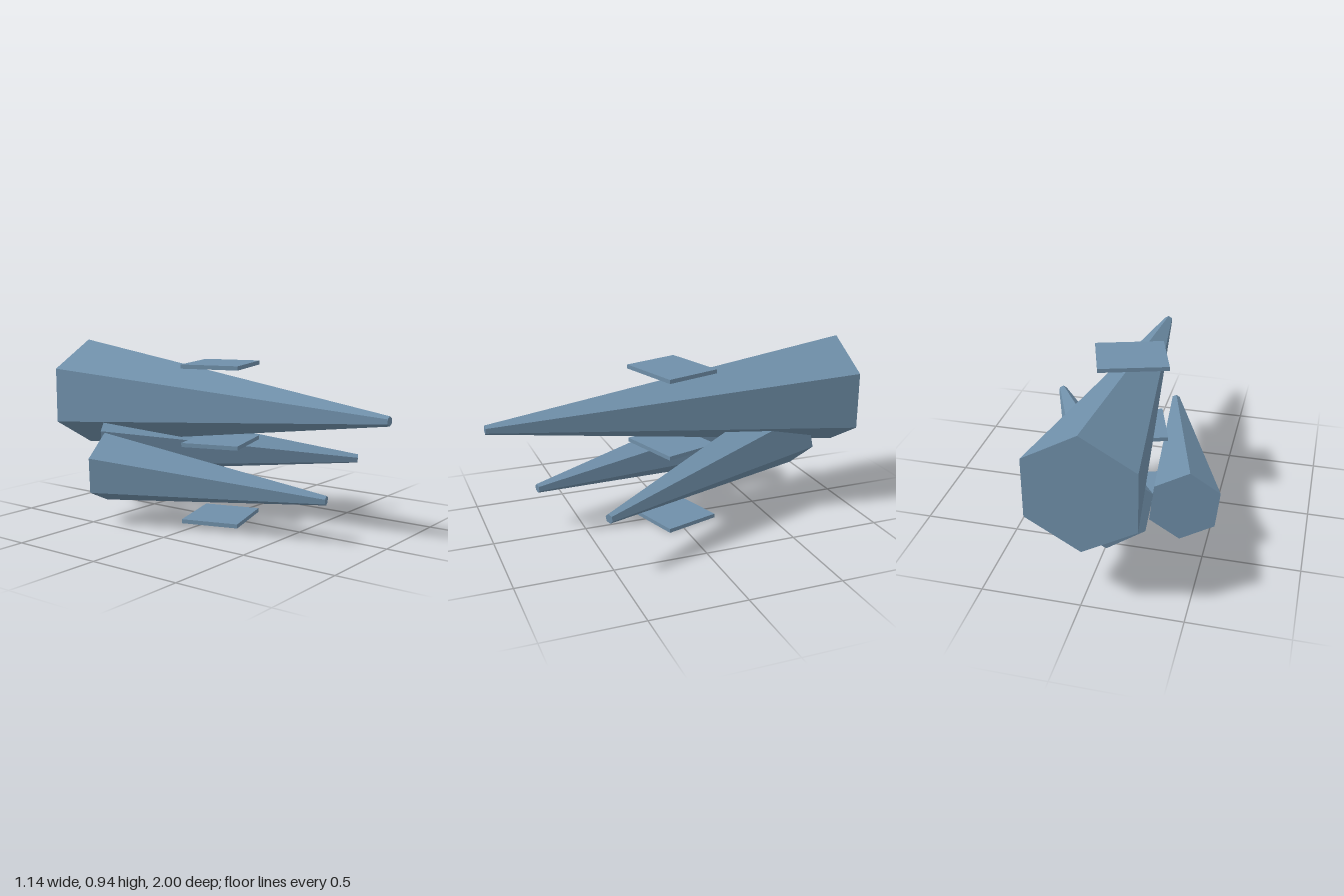
import * as THREE from 'three';

const steel = new THREE.MeshStandardMaterial({ color: 0x6f8fa9, flatShading: true });
steel.name = 'steelBlue';

// Six-sided tapered spike from a wide base to a narrow tip;
// corner is the direction from the base centre to one of its corners.
function spike(name, base, tip, baseRadius, corner) {
  const a = new THREE.Vector3(...base);
  const b = new THREE.Vector3(...tip);
  const length = a.distanceTo(b);
  const axis = b.clone().sub(a).normalize();
  const out = new THREE.Vector3(...corner);
  out.addScaledVector(axis, -out.dot(axis)).normalize();
  const side = new THREE.Vector3().crossVectors(axis, out);

  const geometry = new THREE.CylinderGeometry(0.025, baseRadius, length, 6);
  geometry.applyMatrix4(new THREE.Matrix4().makeBasis(side, axis, out));
  const mesh = new THREE.Mesh(geometry, steel);
  mesh.position.copy(a).add(b).multiplyScalar(0.5);
  mesh.name = name;
  return mesh;
}

export function createModel() {
  const model = new THREE.Group();
  model.name = 'spikesAndPlates';

  // Three spikes pointing forwards
  model.add(
    spike('mainSpike', [-0.01, 0.63, -1], [-0.01, 0.63, 1], 0.31, [0, 1, 0]),
    spike('rightSpike', [-0.4, 0.29, -0.495], [-0.12, 0.225, 0.727], 0.192, [-0.02, 0.19, 0.014]),
    spike('leftSpike', [-0.1, 0.385, -0.747], [0.55, 0.307, 0.532], 0.207, [-0.17, 0.065, 0.087])
  );

  // Three level plates stacked at even heights
  const plateGeometry = new THREE.BoxGeometry(0.37, 0.022, 0.315);
  ['lowerPlate', 'middlePlate', 'upperPlate'].forEach((name, i) => {
    const plate = new THREE.Mesh(plateGeometry, steel);
    plate.name = name;
    plate.position.set(-0.01, 0.011 + i * 0.417, -0.004);
    plate.rotation.y = 0.3;
    model.add(plate);
  });

  return model;
}
